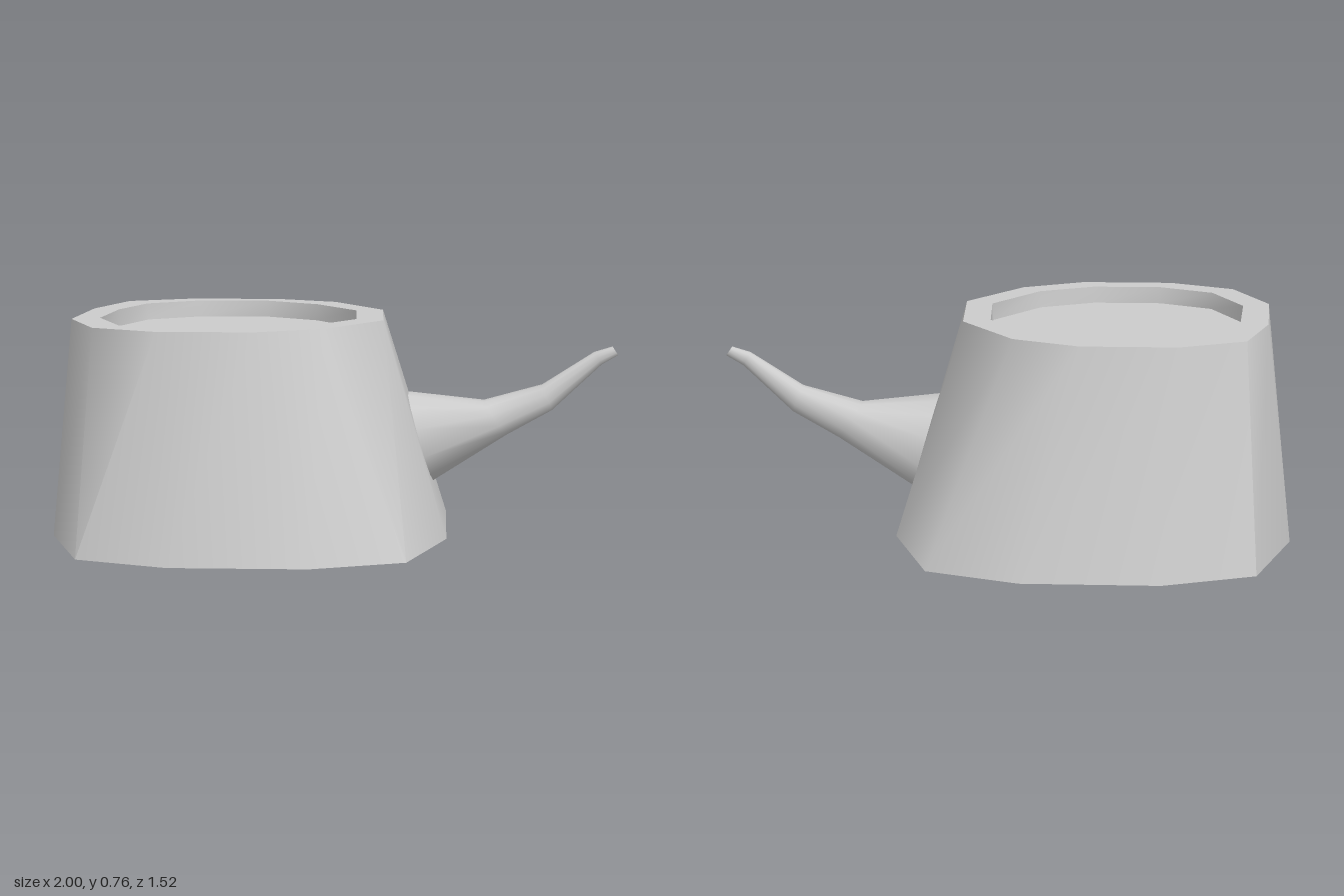
import * as THREE from 'three';
import { toCreasedNormals } from 'three/addons/utils/BufferGeometryUtils.js';

const material = new THREE.MeshStandardMaterial({ color: 0xcccccc });

// Skin a stack of equal-length rings (clockwise seen from the last one), capped at both ends.
function loft(rings, crease) {
  const centre = (ring) => {
    const c = new THREE.Vector3();
    ring.forEach((p) => c.addScaledVector(p, 1 / ring.length));
    return c;
  };
  const n = rings[0].length;
  const last = rings[rings.length - 1];
  const first = centre(rings[0]);
  const end = centre(last);
  const points = [];
  for (let i = 0; i < n; i++) {
    const j = (i + 1) % n;
    points.push(first, rings[0][i], rings[0][j]);
    for (let k = 0; k < rings.length - 1; k++) {
      const a = rings[k], b = rings[k + 1];
      points.push(a[i], b[i], a[j], b[i], b[j], a[j]);
    }
    points.push(last[i], end, last[j]);
  }
  const geometry = new THREE.BufferGeometry().setFromPoints(points);
  return toCreasedNormals(geometry, crease);
}

function addMesh(group, name, geometry) {
  const mesh = new THREE.Mesh(geometry, material);
  mesh.name = name;
  group.add(mesh);
}

// Horizontal ring from [x, z] corners
const flatRing = (corners, y) => corners.map(([x, z]) => new THREE.Vector3(x, y, z));

// Upright twelve-sided ring between an upper and a lower point of the spout
function spoutRing([topX, topY, lowX, lowY, halfWidth]) {
  const soft = (v) => Math.sign(v) * Math.pow(Math.abs(v), 0.85);
  const ring = [];
  for (let i = 0; i < 12; i++) {
    const a = ((i + 0.5) * Math.PI) / 6;
    const c = soft(Math.cos(a) / 0.966);
    const s = soft(Math.sin(a) / 0.966);
    const t = (1 - c) / 2;
    ring.push(new THREE.Vector3(
      THREE.MathUtils.lerp(topX, lowX, t),
      THREE.MathUtils.lerp(topY, lowY, t),
      -0.087 - s * halfWidth
    ));
  }
  return ring;
}

export function createModel() {
  const group = new THREE.Group();
  group.name = 'pot';

  // Tapered body with a raised rim around a sunken lid
  const base = [[-1, -0.26], [-0.86, -0.65], [-0.54, -0.765], [-0.07, -0.765], [0.25, -0.65], [0.385, -0.26],
    [0.385, 0.255], [0.25, 0.645], [-0.07, 0.76], [-0.54, 0.76], [-0.86, 0.645], [-1, 0.255]];
  const rim = [[-0.91, -0.18], [-0.82, -0.46], [-0.59, -0.565], [-0.26, -0.565], [-0.035, -0.46], [0.15, -0.18],
    [0.16, 0.18], [-0.035, 0.455], [-0.26, 0.57], [-0.59, 0.57], [-0.82, 0.455], [-0.935, 0.18]];
  const lid = [[-0.815, -0.15], [-0.74, -0.37], [-0.55, -0.495], [-0.295, -0.495], [-0.1, -0.37], [0.055, -0.15],
    [0.065, 0.14], [-0.1, 0.38], [-0.3, 0.48], [-0.55, 0.48], [-0.74, 0.38], [-0.84, 0.14]];
  const lidFloor = lid.map(([x, z]) => [-0.39 + (x + 0.39) * 0.99, z * 0.985]);
  addMesh(group, 'body', loft([
    flatRing(base, 0), flatRing(rim, 0.76), flatRing(lid, 0.76), flatRing(lidFloor, 0.7)
  ], 0.84));

  // Curved spout: upper x, y, lower x, y, half width
  const sections = [
    [0.245, 0.465, 0.335, 0.155, 0.175],
    [0.52, 0.44, 0.6, 0.32, 0.088],
    [0.73, 0.5, 0.765, 0.41, 0.046],
    [0.915, 0.62, 0.94, 0.575, 0.024],
    [0.98, 0.64, 1, 0.61, 0.018]
  ];
  addMesh(group, 'spout', loft(sections.map(spoutRing), 0.7));

  return group;
}
